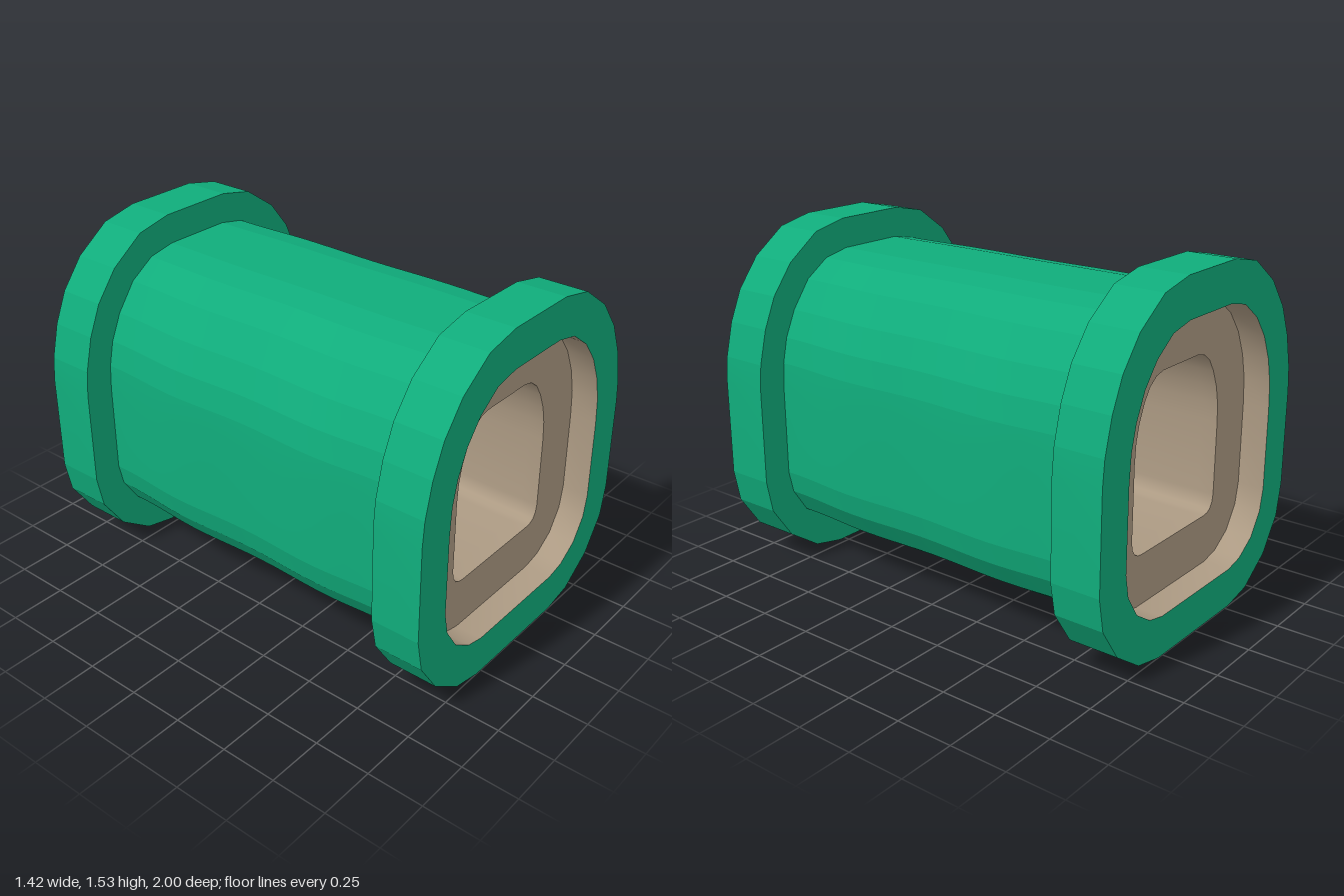
import * as THREE from 'three';
import { toCreasedNormals } from 'three/addons/utils/BufferGeometryUtils.js';

// Right halves of the arch outlines, from top to bottom; all have 12 points
const COLLAR = [[0.175, 1.53], [0.34, 1.495], [0.497, 1.385], [0.6, 1.255], [0.66, 1.12], [0.698, 0.97],
  [0.708, 0.86], [0.708, 0.43], [0.68, 0.285], [0.578, 0.135], [0.425, 0.03], [0.28, 0]];
const BODY = [[0.16, 1.395], [0.285, 1.37], [0.4, 1.295], [0.49, 1.175], [0.543, 1.06], [0.568, 0.95],
  [0.575, 0.84], [0.575, 0.44], [0.553, 0.34], [0.48, 0.23], [0.375, 0.162], [0.27, 0.14]];
const OPENING = [[0.155, 1.355], [0.27, 1.33], [0.375, 1.255], [0.45, 1.16], [0.5, 1.05], [0.527, 0.94],
  [0.535, 0.82], [0.535, 0.46], [0.515, 0.36], [0.45, 0.26], [0.355, 0.198], [0.265, 0.178]];
const HOLE = [[0.13, 1.133], [0.178, 1.122], [0.222, 1.09], [0.258, 1.035], [0.29, 0.96], [0.307, 0.885],
  [0.313, 0.8], [0.313, 0.475], [0.306, 0.44], [0.29, 0.416], [0.268, 0.404], [0.24, 0.4]];

// Full closed ring at depth z, with the sides pushed outward by swell
function ring(half, z, swell = 0) {
  const right = half.map(([x, y]) => [x * (1 + swell), y, z]);
  const left = right.map(([x, y]) => [-x, y, z]).reverse();
  return [...right, ...left];
}

// Surface through a series of rings
function loft(rings) {
  const n = rings[0].length;
  const index = [];
  for (let r = 0; r < rings.length - 1; r++) {
    for (let i = 0; i < n; i++) {
      const a = r * n + i, b = r * n + (i + 1) % n;
      index.push(a, a + n, b, b, a + n, b + n);
    }
  }
  const geometry = new THREE.BufferGeometry();
  geometry.setAttribute('position', new THREE.Float32BufferAttribute(rings.flat(2), 3));
  geometry.setIndex(index);
  return geometry;
}

// Gentle double bulge along the tunnel
function bulge(z) {
  const wave = 0.02 * (1 - Math.cos(2 * Math.PI * z / 0.74));
  return Math.abs(z) < 0.37 ? 0.014 + wave * 0.65 : Math.abs(z) < 0.74 ? wave : 0;
}

function tubeRings(half, from, to, steps) {
  return Array.from({ length: steps + 1 }, (_, i) => {
    const z = from + (to - from) * i / steps;
    return ring(half, z, bulge(z));
  });
}

export function createModel() {
  const green = new THREE.MeshStandardMaterial({ color: 0x10ac7b });
  green.name = 'green';
  const tan = new THREE.MeshStandardMaterial({ color: 0xac9a83 });
  tan.name = 'tan';

  const model = new THREE.Group();
  model.name = 'tunnel';
  const add = (parent, name, geometry, material, crease) => {
    const mesh = new THREE.Mesh(toCreasedNormals(geometry, crease), material);
    mesh.name = name;
    parent.add(mesh);
  };

  // Outer shell, faceted around and smooth along its length
  add(model, 'shell', loft(tubeRings(BODY, -0.78, 0.78, 20)), green, 0.12);

  // Passage through the middle
  add(model, 'passageLining', loft(tubeRings(HOLE, 0.88, -0.88, 24)), tan, 0.7);

  // Collar, recess and inner rim at each end
  for (const [name, turn] of [['frontEnd', 0], ['backEnd', Math.PI]]) {
    const end = new THREE.Group();
    end.name = name;
    end.rotation.y = turn;
    add(end, 'collar', loft([ring(BODY, 0.78), ring(COLLAR, 0.78), ring(COLLAR, 1), ring(OPENING, 1)]), green, 0.1);
    add(end, 'recessWall', loft([ring(OPENING, 1), ring(OPENING, 0.88)]), tan, 0.6);
    add(end, 'innerRim', loft([ring(OPENING, 0.88), ring(HOLE, 0.88)]), tan, 0.1);
    model.add(end);
  }
  return model;
}
